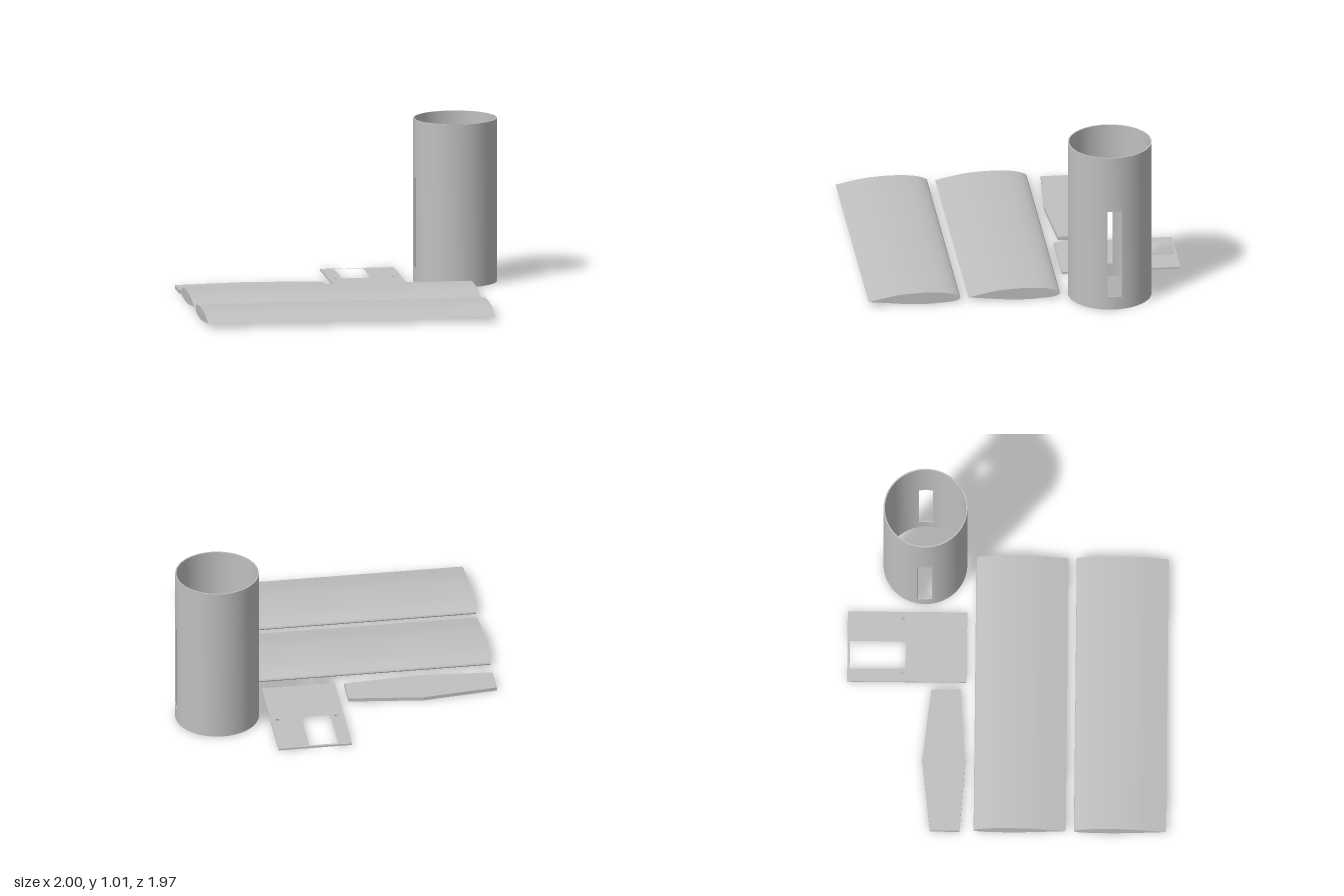
import * as THREE from 'three';
import { mergeGeometries, toCreasedNormals } from 'three/addons/utils/BufferGeometryUtils.js';

const v = (x, y) => new THREE.Vector2(x, y);

// Flat plate lying on the ground, from an outline of [x, z] points
function plate(outline, holes, thickness) {
  const shape = new THREE.Shape(outline.map(([x, z]) => v(x, -z)));
  shape.holes = holes;
  const geo = new THREE.ExtrudeGeometry(shape, { depth: thickness, bevelEnabled: false, curveSegments: 10 });
  return geo.rotateX(-Math.PI / 2);
}

const rect = (x0, x1, z0, z1) => [[x0, z0], [x1, z0], [x1, z1], [x0, z1]];

// Wing panel: aerofoil section, sharp trailing edge at the front, swept along x
function wingGeometry(length) {
  const section = [
    [-0.565, 0.03], [-0.48, 0.048], [-0.39, 0.065], [-0.3, 0.073], [-0.2, 0.075], [-0.11, 0.07],
    [-0.05, 0.059], [-0.012, 0.044], [0, 0.031], [-0.012, 0.019], [-0.05, 0.009], [-0.11, 0.004],
    [-0.2, 0], [-0.3, 0.003], [-0.4, 0.012], [-0.48, 0.021], [-0.565, 0.03],
  ].map(([x, y]) => v(x, y));
  const points = new THREE.SplineCurve(section).getPoints(64);
  points.pop();
  const geo = new THREE.ExtrudeGeometry(new THREE.Shape(points), { depth: length, bevelEnabled: false });
  return toCreasedNormals(geo.rotateY(Math.PI / 2), 0.7);
}

// Tube with a tall slot through the wall on each side
function tubeGeometry(R, r, height, slotBottom, slotTop, slotWidth) {
  const a = Math.asin(slotWidth / 2 / R);
  const wall = (y0, y1, start, sweep, segments) => new THREE.LatheGeometry(
    [v(R, y0), v(R, y1), v(r, y1), v(r, y0), v(R, y0)], segments, start, sweep);
  const parts = [];
  for (const mid of [Math.PI / 2, Math.PI * 1.5]) {
    parts.push(wall(0, height, mid + a, Math.PI - 2 * a, 32));
    parts.push(wall(0, slotBottom, mid - a, 2 * a, 4));
    parts.push(wall(slotTop, height, mid - a, 2 * a, 4));
    // side faces of the slot
    for (const side of [1, -1]) {
      const jamb = new THREE.PlaneGeometry(R - r, slotTop - slotBottom);
      if (side < 0) jamb.rotateX(Math.PI);
      jamb.translate((R + r) / 2, (slotTop + slotBottom) / 2, 0);
      parts.push(jamb.rotateY(mid + side * a - Math.PI / 2));
    }
  }
  return toCreasedNormals(mergeGeometries(parts), 0.6);
}

export function createModel() {
  const group = new THREE.Group();
  const grey = new THREE.MeshStandardMaterial({ color: 0xc0c0c0 });
  grey.name = 'grey';

  const add = (name, geometry, x = 0, y = 0, z = 0) => {
    const mesh = new THREE.Mesh(geometry, grey);
    mesh.name = name;
    mesh.position.set(x, y, z);
    group.add(mesh);
  };

  // Two identical wing panels
  const wing = wingGeometry(1.78);
  add('frontWing', wing, -1, 0, 0.415);
  add('rearWing', wing, -1, 0, -0.2);

  // Upright slotted tube
  add('slottedTube', tubeGeometry(0.257, 0.249, 1.015, 0.085, 0.655, 0.09), 0.741, 0, -0.512);

  // Tapered six-sided plate
  add('taperedPlate', plate([
    [-1, -0.468], [-0.54, -0.52], [-0.08, -0.468], [-0.08, -0.287], [-0.54, -0.255], [-1, -0.287],
  ], [], 0.022));

  // Mounting plate with a window and two screw holes
  const windowHole = new THREE.Path(rect(0.057, 0.235, -0.97, -0.627).map(([x, z]) => v(x, -z)));
  const screwHoles = [0.02, 0.38].map((x) => new THREE.Path().absarc(x, 0.64, 0.013, 0, Math.PI * 2));
  add('mountingPlate', plate(rect(-0.027, 0.428, -0.985, -0.252), [windowHole, ...screwHoles], 0.011));

  return group;
}
